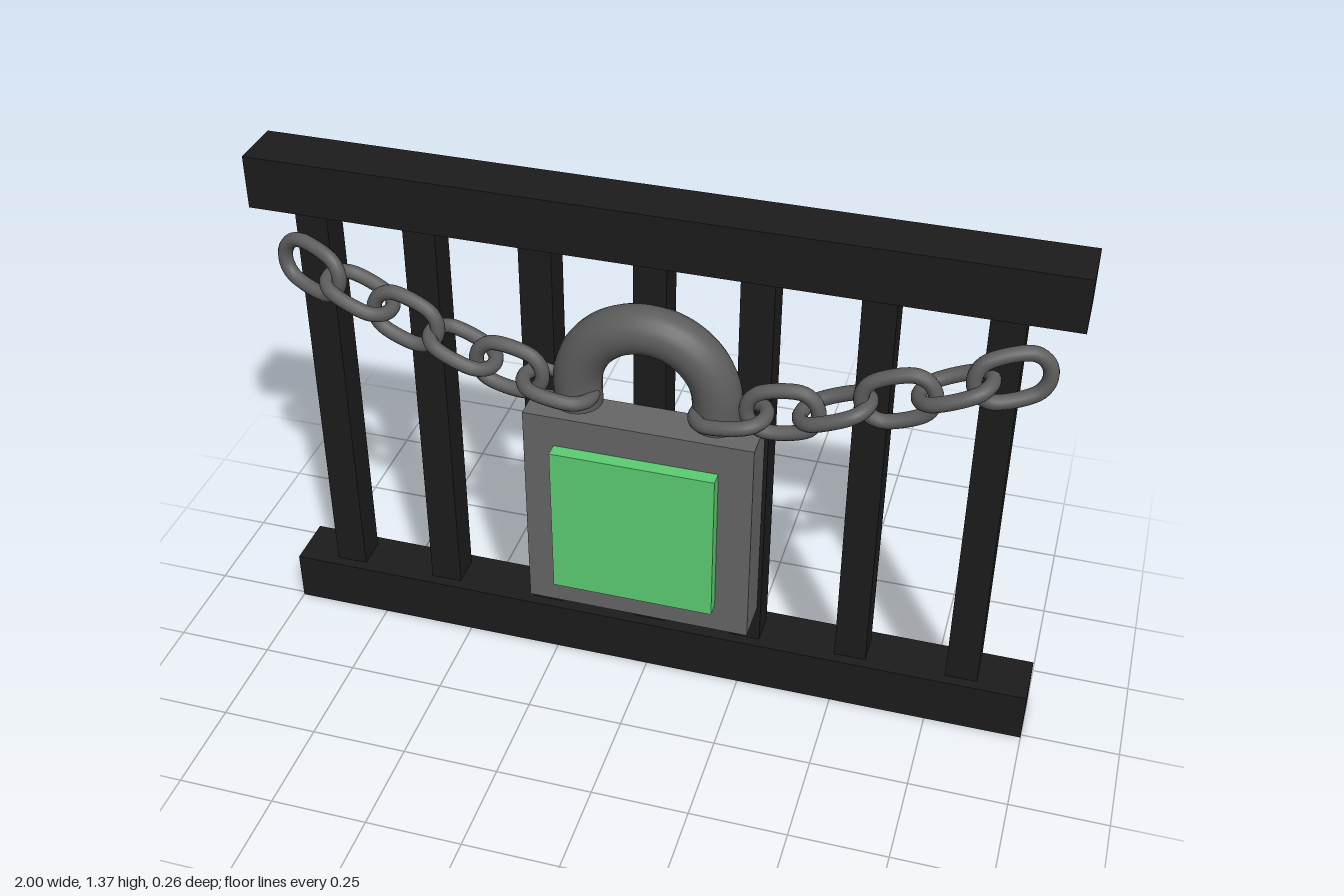
import * as THREE from 'three';

const paint = (color) => new THREE.MeshStandardMaterial({ color });

// Closed stadium-shaped centre line of a chain link
function linkGeometry(radius, straight, wire) {
  const points = [];
  for (const side of [1, -1]) {
    for (let i = 0; i <= 6; i++) {
      const a = -Math.PI / 2 + (i / 6) * Math.PI;
      points.push(new THREE.Vector3(side * (straight + Math.cos(a) * radius), side * Math.sin(a) * radius, 0));
    }
  }
  const path = new THREE.CatmullRomCurve3(points, true);
  return new THREE.TubeGeometry(path, 48, wire, 12, true);
}

export function createModel() {
  const model = new THREE.Group();
  const iron = paint(0x1c1c1c);
  const steel = paint(0x666666);
  const chainMetal = paint(0x5c5c5c);
  const green = paint(0x5acd72);

  const add = (parent, name, geometry, material, x, y, z) => {
    const mesh = new THREE.Mesh(geometry, material);
    mesh.name = name;
    mesh.position.set(x, y, z);
    parent.add(mesh);
    return mesh;
  };
  const box = (w, h, d) => new THREE.BoxGeometry(w, h, d);

  // Fence: two rails and seven bars
  const fence = new THREE.Group();
  fence.name = 'fence';
  model.add(fence);
  add(fence, 'bottomRail', box(2, 0.137, 0.14), iron, 0, 0.0685, -0.06);
  add(fence, 'topRail', box(2, 0.137, 0.14), iron, 0, 1.3015, -0.06);
  for (const x of [-0.853, -0.575, -0.283, 0, 0.258, 0.54, 0.829]) {
    add(fence, 'bar', box(0.082, 1.1, 0.084), iron, x, 0.686, -0.06);
  }

  // Padlock: body, raised front panel and shackle
  const padlock = new THREE.Group();
  padlock.name = 'padlock';
  model.add(padlock);
  add(padlock, 'lockBody', box(0.58, 0.58, 0.11), steel, 0, 0.535, 0.04);
  add(padlock, 'frontPanel', box(0.416, 0.416, 0.04), green, -0.004, 0.533, 0.111);
  const shackle = new THREE.Group();
  shackle.name = 'shackle';
  shackle.position.set(0, 0.885, 0.005);
  padlock.add(shackle);
  add(shackle, 'shackleArch', new THREE.TorusGeometry(0.175, 0.061, 20, 40, Math.PI), chainMetal, 0, 0, 0);
  for (const side of [-1, 1]) {
    add(shackle, 'shackleLeg', new THREE.CylinderGeometry(0.061, 0.061, 0.08, 20), chainMetal, side * 0.175, -0.04, 0);
  }

  // Chains: links alternate upright and flat, outermost first
  const link = linkGeometry(0.058, 0.029, 0.0185);
  const links = [
    // x, y, z, tilt, yaw, roll
    [0.855, 1.085, 0.002, 0.24, 0.3, 0],
    [0.732, 1.035, 0.005, 0.37, 0.1, Math.PI / 2],
    [0.607, 0.995, 0.025, 0.33, 0.08, 0],
    [0.462, 0.938, 0.025, 0.37, 0.05, Math.PI / 2],
    [0.34, 0.91, 0.035, 0.17, 0.05, 0],
    [0.216, 0.878, 0.035, 0.16, 0, Math.PI / 2],
  ];
  for (const side of [-1, 1]) {
    const chain = new THREE.Group();
    chain.name = side > 0 ? 'leftChain' : 'rightChain';
    model.add(chain);
    for (const [x, y, z, tilt, yaw, roll] of links) {
      const mesh = add(chain, 'chainLink', link, chainMetal, side * x, y, z);
      mesh.rotation.set(roll, side * yaw, side * tilt, 'ZYX');
    }
  }
  return model;
}
